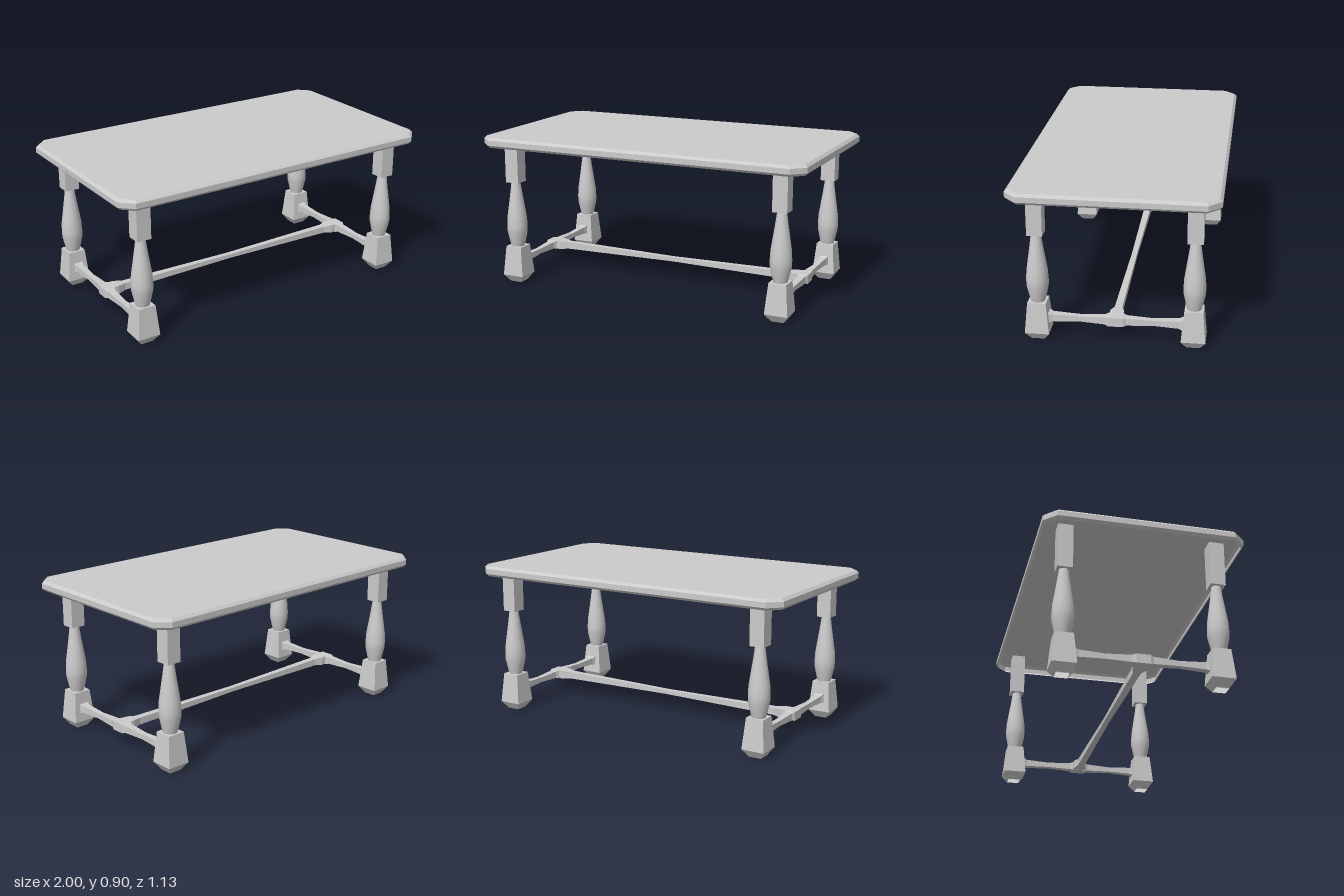
import * as THREE from 'three';

const flat = new THREE.MeshStandardMaterial({ color: 0xcccccc, flatShading: true, side: THREE.DoubleSide });
const smooth = new THREE.MeshStandardMaterial({ color: 0xcccccc });

function add(parent, name, geometry, material = flat) {
  const mesh = new THREE.Mesh(geometry, material);
  mesh.name = name;
  parent.add(mesh);
  return mesh;
}

// Radial profile, bottom to top; four sides give a square section
function turned(points, sides) {
  const k = sides === 4 ? Math.SQRT2 : 1;
  const profile = points.map(([r, y]) => new THREE.Vector2(r * k, y));
  return new THREE.LatheGeometry(profile, sides, Math.PI / 4);
}

// Rectangular bar along x; each section is [x, half height, half width]
function bar(half) {
  const sections = [...half.slice().reverse().map(([x, h, w]) => [-x, h, w]), ...half];
  const n = sections.length - 1;
  const geo = new THREE.BoxGeometry(2, 2, 2, n, 1, 1);
  const p = geo.attributes.position;
  for (let i = 0; i < p.count; i++) {
    const [x, h, w] = sections[Math.round((p.getX(i) + 1) / 2 * n)];
    p.setXYZ(i, x, p.getY(i) * h, p.getZ(i) * w);
  }
  geo.computeVertexNormals();
  return geo;
}

// Outline of the top with cut corners, shrunk by an inset
function outline(inset) {
  const x = 1 - inset, z = 0.565 - inset, c = 0.07 - inset * (2 - Math.SQRT2);
  return [[x, -z + c], [x, z - c], [x - c, z], [-x + c, z],
    [-x, z - c], [-x, -z + c], [-x + c, -z], [x - c, -z]];
}

// Hollow top: bevelled rim, open underneath, closed above
function tableTop() {
  const rings = [[0.015, 0.836], [0, 0.851], [0, 0.881], [0.015, 0.896]]
    .map(([inset, y]) => outline(inset).map(([x, z]) => [x, y, z]));
  rings.push(rings[3].map(() => [0, 0.896, 0]));
  const index = [];
  for (let r = 0; r < 4; r++) for (let i = 0; i < 8; i++) {
    const a = r * 8 + i, b = r * 8 + (i + 1) % 8;
    index.push(a, a + 8, b);
    if (r < 3) index.push(b, a + 8, b + 8);
  }
  const geo = new THREE.BufferGeometry();
  geo.setAttribute('position', new THREE.Float32BufferAttribute(rings.flat(2), 3));
  geo.setIndex(index);
  const split = geo.toNonIndexed();
  split.computeVertexNormals();
  return split;
}

export function createModel() {
  const table = new THREE.Group();
  table.name = 'table';
  add(table, 'tableTop', tableTop());

  // Four legs: square block, turned baluster, flared square foot open below
  const block = new THREE.BoxGeometry(0.085, 0.264, 0.085).translate(0, 0.748, 0);
  const baluster = turned([[0.038, 0.215], [0.047, 0.25], [0.06, 0.31], [0.061, 0.345],
    [0.058, 0.4], [0.049, 0.46], [0.037, 0.54], [0.026, 0.62]], 24);
  const foot = turned([[0.036, 0], [0.067, 0.045], [0.051, 0.222], [0, 0.222]], 4);
  for (const sx of [-1, 1]) for (const sz of [-1, 1]) {
    const leg = new THREE.Group();
    leg.name = (sz > 0 ? 'front' : 'back') + (sx > 0 ? 'Left' : 'Right') + 'Leg';
    leg.position.set(sx * 0.84 + 0.004, 0, sz * 0.426 - 0.002);
    add(leg, 'legBlock', block);
    add(leg, 'baluster', baluster, smooth);
    add(leg, 'foot', foot);
    table.add(leg);
  }

  // Side stretchers, with a block at the middle and flared ends
  const side = bar([[0.04, 0.026, 0.032], [0.058, 0.021, 0.022], [0.2, 0.015, 0.016],
    [0.345, 0.021, 0.021], [0.36, 0.027, 0.027], [0.38, 0.027, 0.027]]);
  for (const sx of [-1, 1]) {
    const s = add(table, sx > 0 ? 'leftStretcher' : 'rightStretcher', side);
    s.position.set(sx * 0.84 + 0.004, 0.124, -0.002);
    s.rotation.y = Math.PI / 2;
  }

  // Long stretcher joining the two sides
  const long = bar([[0, 0.012, 0.016], [0.73, 0.021, 0.021], [0.78, 0.0255, 0.038], [0.81, 0.0255, 0.038]]);
  add(table, 'longStretcher', long).position.set(0.004, 0.125, -0.002);
  return table;
}
